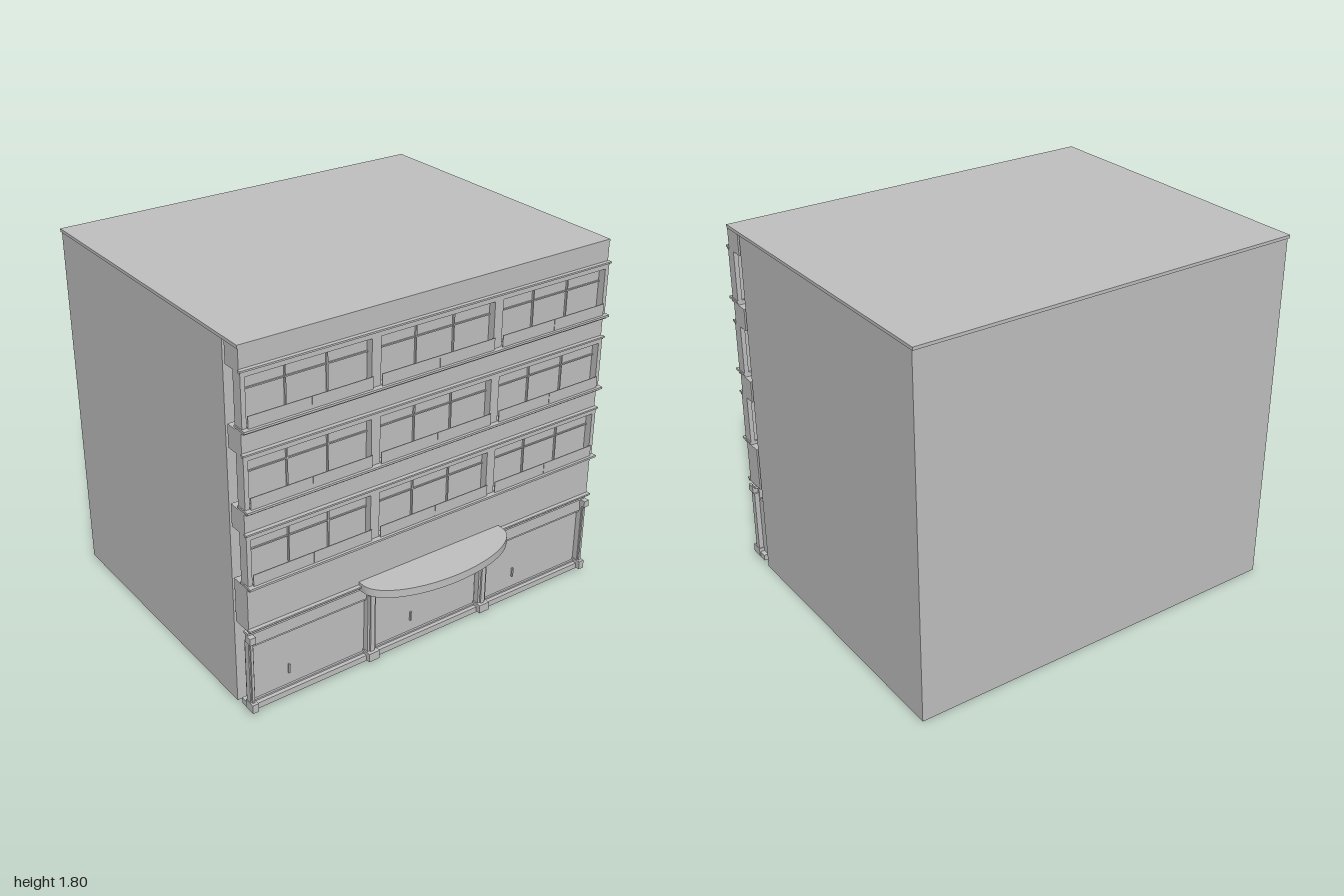
import * as THREE from 'three';

export function createModel() {
  const model = new THREE.Group();
  model.name = 'building';
  const stone = new THREE.MeshStandardMaterial({ color: 0xc0c0c0 });
  stone.name = 'light grey';

  // Box given by its limits on each axis
  function box(parent, name, x0, x1, y0, y1, z0, z1) {
    const mesh = new THREE.Mesh(new THREE.BoxGeometry(x1 - x0, y1 - y0, z1 - z0), stone);
    mesh.position.set((x0 + x1) / 2, (y0 + y1) / 2, (z0 + z1) / 2);
    mesh.name = name;
    parent.add(mesh);
    return mesh;
  }
  function group(name) {
    const g = new THREE.Group();
    g.name = name;
    model.add(g);
    return g;
  }

  // Main block and roof
  box(model, 'mainBlock', -0.99, 0.99, 0, 1.785, -0.88, 0.56);
  box(model, 'roofSlab', -0.993, 0.993, 1.785, 1.8, -0.89, 0.68);

  // Wall bands between the storeys
  for (const [y0, y1] of [[0.445, 0.67], [0.93, 1.04], [1.305, 1.415], [1.68, 1.785]]) {
    box(model, 'wallBand', -0.99, 0.99, y0, y1, 0.577, 0.68);
    box(model, 'bandCornice', -0.993, 0.993, y0, y0 + 0.008, 0.68, 0.692);
    box(model, 'bandCorniceTop', -0.995, 0.995, y0 + 0.008, y0 + 0.016, 0.68, 0.7);
  }

  const bays = [[-0.968, -0.355], [-0.308, 0.308], [0.355, 0.968]];
  const piers = [[-0.99, -0.968], [-0.355, -0.308], [0.308, 0.355], [0.968, 0.99]];

  // Upper storeys
  for (const [sill, head] of [[0.67, 0.93], [1.045, 1.305], [1.42, 1.68]]) {
    const storey = group('windowStorey');
    const y0 = sill + 0.016, y1 = head - 0.018;
    box(storey, 'sillBase', -0.99, 0.99, sill - 0.006, sill + 0.008, 0.635, 0.7);
    box(storey, 'sillLedge', -0.995, 0.995, sill + 0.006, y0, 0.635, 0.715);
    box(storey, 'lintel', -0.99, 0.99, y1, head, 0.635, 0.69);
    for (const [a, b] of piers) box(storey, 'pier', a, b, y0, y1, 0.635, 0.69);
    for (const [a, b] of bays) {
      box(storey, 'windowPane', a, b, y0, y1, 0.645, 0.653);
      for (const t of [1 / 3, 2 / 3]) {
        const x = a + (b - a) * t;
        box(storey, 'mullion', x - 0.003, x + 0.003, y0, y1, 0.653, 0.663);
      }
      const ty = y0 + (y1 - y0) * 0.7;
      box(storey, 'transom', a, b, ty - 0.003, ty + 0.003, 0.653, 0.66);
      const mid = (a + b) / 2;
      for (const [c, d] of [[a, mid - 0.001], [mid + 0.001, b]]) {
        box(storey, 'balconyPanel', c, d, y0, y0 + 0.057, 0.697, 0.701);
      }
    }
  }

  // Ground storey
  const ground = group('groundStorey');
  box(ground, 'plinth', -0.99, 0.99, 0.012, 0.042, 0.6, 0.675);
  box(ground, 'topBeam', -0.99, 0.99, 0.418, 0.43, 0.635, 0.67);
  for (const [a, b] of bays) {
    box(ground, 'shopPane', a, b, 0.042, 0.35, 0.602, 0.645);
    box(ground, 'signPanel', a, b, 0.355, 0.42, 0.64, 0.665);
    box(ground, 'shopTransom', a, b, 0.344, 0.355, 0.635, 0.66);
    box(ground, 'shopRail', a, b, 0.042, 0.05, 0.645, 0.655);
  }
  for (const x of [-0.77, -0.085, 0.55]) {
    box(ground, 'doorHandle', x - 0.004, x + 0.004, 0.112, 0.16, 0.645, 0.654);
  }

  // Columns with base, stepped shaft and capital
  for (const [x, w] of [[-0.98, 0.03], [-0.332, 0.058], [0.332, 0.058], [0.98, 0.03]]) {
    const h = w / 2;
    box(ground, 'columnShaft', x - h * 0.8, x + h * 0.8, 0.04, 0.385, 0.645, 0.676);
    box(ground, 'columnFace', x - h * 0.4, x + h * 0.4, 0.06, 0.385, 0.676, 0.685);
    box(ground, 'columnBase', x - h, x + h, 0.018, 0.062, 0.64, 0.7);
    box(ground, 'columnCapital', x - h, x + h, 0.385, 0.42, 0.655, 0.697);
  }

  // Curved entrance canopy
  const outline = new THREE.Shape();
  outline.moveTo(-0.41, 0);
  outline.lineTo(0.41, 0);
  outline.lineTo(0.41, -0.04);
  outline.absellipse(0, -0.04, 0.41, 0.18, 0, Math.PI, true);
  outline.lineTo(-0.41, 0);
  const slab = new THREE.ExtrudeGeometry(outline, { depth: 0.04, bevelEnabled: false, curveSegments: 24 });
  slab.rotateX(-Math.PI / 2);
  const canopy = new THREE.Mesh(slab, stone);
  canopy.name = 'canopy';
  canopy.position.set(0, 0.436, 0.67);
  model.add(canopy);

  // Round lamps under the canopy
  for (const x of [-0.22, 0, 0.22]) {
    const lamp = new THREE.Mesh(new THREE.CylinderGeometry(0.018, 0.018, 0.006, 16), stone);
    lamp.name = 'canopyLamp';
    lamp.position.set(x, 0.434, 0.76);
    model.add(lamp);
  }
  return model;
}
